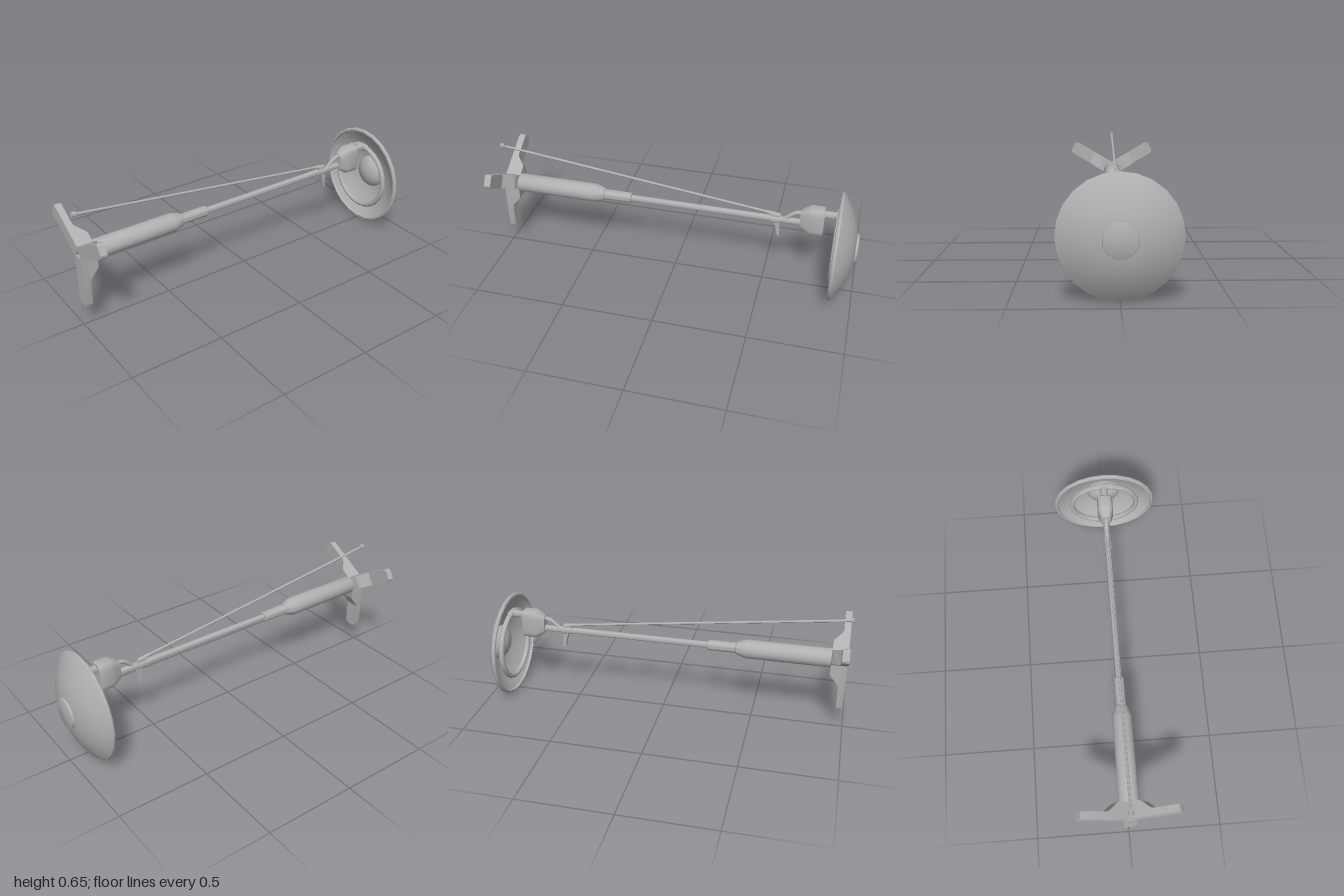
import * as THREE from 'three';
import { toCreasedNormals } from 'three/addons/utils/BufferGeometryUtils.js';

const AXIS_Y = 0.414;   // height of the lying shaft
const DISH_Y = 0.295;   // height of the dish centre
const grey = new THREE.MeshStandardMaterial({ color: 0xb0b0b0 });
grey.name = 'grey metal';

export function createModel() {
  const model = new THREE.Group();
  model.name = 'stand with dish';

  const add = (name, geometry, x = 0, y = 0, z = 0, parent = model) => {
    const mesh = new THREE.Mesh(toCreasedNormals(geometry, 0.6), grey);
    mesh.name = name;
    mesh.position.set(x, y, z);
    parent.add(mesh);
    return mesh;
  };
  // Turned part along z; profile of [radius, z], outer side in rising z
  const turned = (profile, sides = 24) => new THREE.LatheGeometry(
    profile.map(([r, z]) => new THREE.Vector2(r, z)), sides).rotateX(Math.PI / 2);
  // Round bar between two points in the x = 0 plane
  const bar = (name, z0, y0, z1, y1, r0, r1 = r0) => {
    const length = Math.hypot(z1 - z0, y1 - y0);
    const mesh = add(name, new THREE.CylinderGeometry(r1, r0, length, 12),
      0, (y0 + y1) / 2, (z0 + z1) / 2);
    mesh.rotation.x = Math.atan2(z1 - z0, y1 - y0);
    return mesh;
  };

  // Three feet around the shaft
  const half = 0.038;
  const outline = new THREE.Shape([
    [-half, -0.014], [-half, -0.27], [-0.034, -0.285], [-0.024, -0.293],
    [0.024, -0.293], [0.034, -0.285], [half, -0.27], [half, -0.014],
  ].map(([x, y]) => new THREE.Vector2(x, y)));
  const footPlate = new THREE.ExtrudeGeometry(outline, { depth: 0.036, bevelEnabled: false });
  const p = footPlate.attributes.position;
  for (let i = 0; i < p.count; i++) {
    // slope the inner ends into a small three-sided recess
    if (p.getY(i) > -0.02 && p.getZ(i) < 0.01) p.setY(i, 0);
  }
  const gussetSide = new THREE.Shape([
    [0, 0.905], [0.075, 0.905], [0.09, 0.91], [0.135, 0.947], [0.155, 0.956], [0, 0.956],
  ].map(([r, z]) => new THREE.Vector2(r, z)));
  const gusset = new THREE.ExtrudeGeometry(gussetSide, { depth: 2 * half, bevelEnabled: false })
    .translate(0, 0, -half)
    .applyMatrix4(new THREE.Matrix4().makeBasis(
      new THREE.Vector3(0, -1, 0), new THREE.Vector3(0, 0, 1), new THREE.Vector3(-1, 0, 0)));
  for (let i = 0; i < 3; i++) {
    const foot = new THREE.Group();
    foot.name = 'foot' + (i + 1);
    foot.position.y = AXIS_Y;
    foot.rotation.z = i * Math.PI * 2 / 3;
    add('footPlate', footPlate, 0, 0, 0.954, foot);
    add('footGusset', gusset, 0, 0, 0, foot);
    model.add(foot);
  }

  // Stepped shaft
  add('shaft', turned([
    [0, -0.7], [0.017, -0.7], [0.017, 0.247], [0.024, 0.247], [0.028, 0.252],
    [0.028, 0.4], [0.034, 0.404], [0.05, 0.452], [0.051, 0.46], [0.051, 0.9], [0.047, 0.907], [0, 0.907],
  ]), 0, AXIS_Y);

  // Housing: turned body squared off into a tall rounded block
  const housing = turned([
    [0, -0.063], [0.074, -0.063], [0.08, -0.056], [0.08, 0.01], [0.074, 0.022],
    [0.053, 0.055], [0.048, 0.062], [0, 0.062],
  ], 32);
  const h = housing.attributes.position;
  for (let i = 0; i < h.count; i++) {
    const r = Math.hypot(h.getX(i), h.getY(i));
    if (r < 1e-6) continue;
    const soft = (v) => Math.sign(v) * Math.sqrt(Math.abs(v) / r) * r;
    h.setXY(i, soft(h.getX(i)) * 0.55, soft(h.getY(i)));
  }
  add('housing', housing, 0, 0.438, -0.742);

  // Curved cable from shaft to housing
  const cablePath = new THREE.CatmullRomCurve3([
    [0.42, -0.595], [0.438, -0.615], [0.463, -0.645], [0.472, -0.67], [0.472, -0.7],
  ].map(([y, z]) => new THREE.Vector3(0, y, z)));
  add('cable', new THREE.TubeGeometry(cablePath, 16, 0.011, 10));

  // Ring joint
  bar('ringJoint', -0.79, 0.485, -0.876, 0.485, 0.019);
  add('ring', new THREE.TorusGeometry(0.19, 0.0145, 12, 24), 0, DISH_Y, -0.877);
  const sleeve = add('ringSleeve',
    new THREE.TorusGeometry(0.19, 0.019, 12, 6, 0.44), 0, DISH_Y, -0.877);
  sleeve.rotation.z = Math.PI / 2 - 0.22;

  // Hollow dish with rolled rim and a round cap on its back
  add('dish', turned([
    [0, -0.988], [0.08, -0.984], [0.13, -0.973], [0.18, -0.955], [0.23, -0.93],
    [0.27, -0.905], [0.291, -0.89], [0.293, -0.882], [0.288, -0.874], [0.278, -0.872],
    [0.274, -0.884], [0.225, -0.915], [0.17, -0.945], [0.11, -0.965], [0, -0.974],
  ]), 0, DISH_Y);
  add('dishCap', turned([
    [0, -1], [0.07, -0.998], [0.08, -0.994], [0.083, -0.978], [0, -0.978],
  ]), 0, DISH_Y);
  add('centreDome', turned([
    [0.097, -0.968], [0.094, -0.955], [0.08, -0.938], [0.055, -0.924], [0.028, -0.916], [0, -0.913],
  ]), 0, DISH_Y);

  // Slanted rod with end knob
  bar('rod', -0.53, 0.447, 0.985, 0.638, 0.0065);
  bar('rodKnob', 0.978, 0.637, 0.998, 0.64, 0.013);
  bar('rodSocket', -0.57, 0.437, -0.5, 0.451, 0.013, 0.009);

  // Clamp with hanging wedge that holds the rod to the shaft
  add('clampCollar', turned([
    [0.017, -0.578], [0.022, -0.578], [0.022, -0.525], [0.017, -0.525],
  ], 16), 0, AXIS_Y);
  const wedge = new THREE.Shape([
    [-0.522, 0.445], [-0.575, 0.435], [-0.577, 0.31], [-0.565, 0.315], [-0.548, 0.385],
  ].map(([z, y]) => new THREE.Vector2(-z, y)));
  add('clampWedge', new THREE.ExtrudeGeometry(wedge, { depth: 0.024, bevelEnabled: false })
    .translate(0, 0, -0.012).rotateY(Math.PI / 2));

  return model;
}
